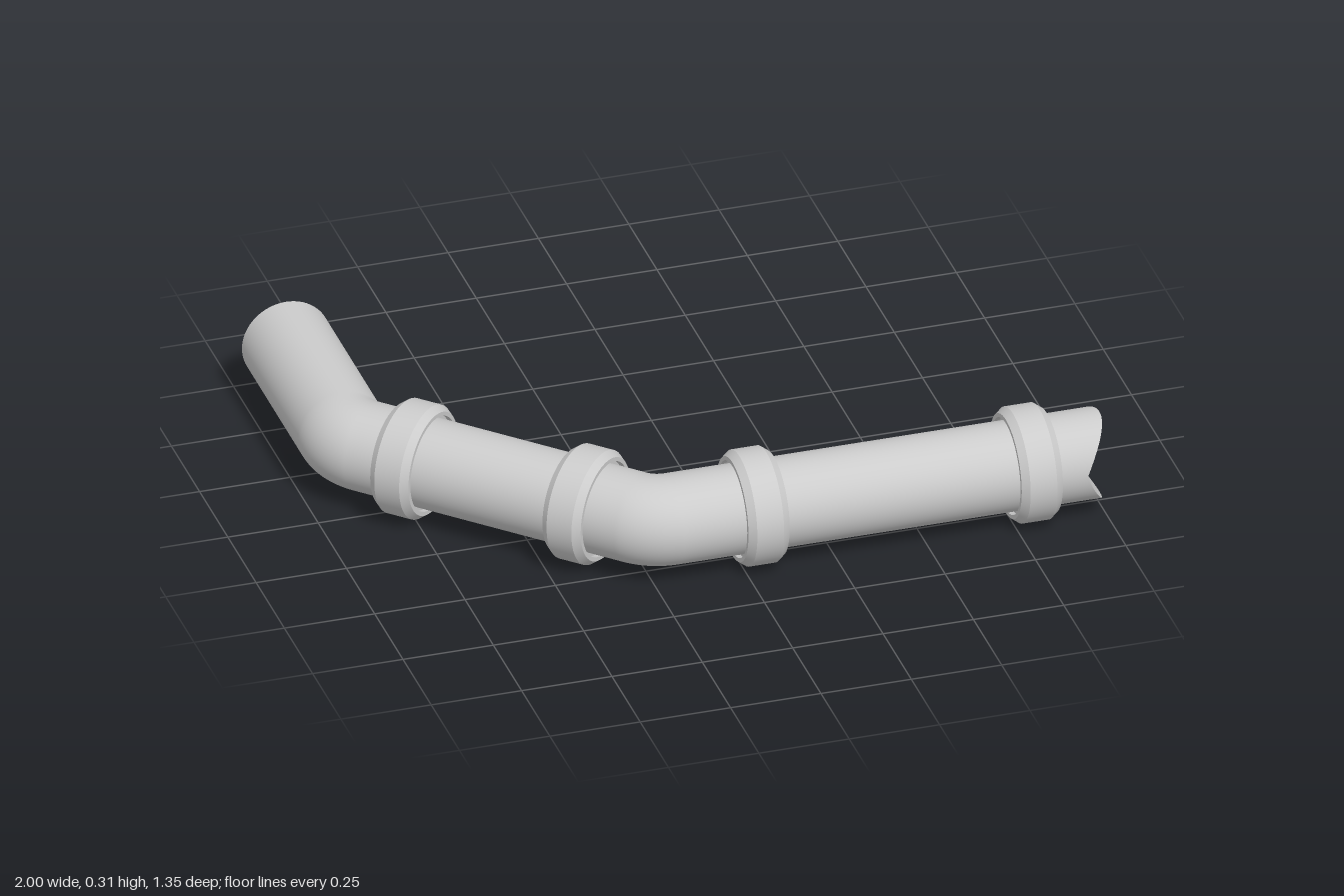
import * as THREE from 'three';
import { toCreasedNormals } from 'three/addons/utils/BufferGeometryUtils.js';

const R = 0.122, AXIS_Y = 0.16, SIDES = 64, BEND = 0.125;

// Surface through rows of points, optionally closed around each row
function skin(rows, closed) {
  const n = rows[0].length, index = [];
  for (let i = 0; i < rows.length - 1; i++) {
    for (let j = 0; j < (closed ? n : n - 1); j++) {
      const a = i * n + j, b = i * n + (j + 1) % n;
      index.push(a, b, a + n, b, b + n, a + n);
    }
  }
  const geo = new THREE.BufferGeometry();
  geo.setAttribute('position', new THREE.Float32BufferAttribute(rows.flat(2), 3));
  geo.setIndex(index);
  geo.computeVertexNormals();
  return geo;
}

// Ring of pipe points around (x, z), heading at angle a in the ground plane
function ring(x, z, a, shift = () => 0) {
  return Array.from({ length: SIDES }, (_, j) => {
    const t = j / SIDES * Math.PI * 2;
    const up = R * Math.cos(t), side = R * Math.sin(t), along = shift(up);
    return [x - side * Math.sin(a) + along * Math.cos(a), AXIS_Y + up,
      z + side * Math.cos(a) + along * Math.sin(a)];
  });
}

// Tight elbow from heading a0 to a1 around a centre
function elbow(cx, cz, a0, a1) {
  return Array.from({ length: 13 }, (_, i) => {
    const a = a0 + (a1 - a0) * i / 12;
    return ring(cx - BEND * Math.sin(a), cz + BEND * Math.cos(a), a);
  });
}

// Depth of the V-shaped end notch
const notch = (y) => {
  const t = Math.abs(y) / R;
  return 0.07 * (0.65 * t + 0.35 * t * t);
};

export function createModel() {
  const group = new THREE.Group();
  const material = new THREE.MeshStandardMaterial({ color: 0xcccccc });
  const add = (name, geo) => {
    const mesh = new THREE.Mesh(geo, material);
    mesh.name = name;
    group.add(mesh);
    return mesh;
  };

  // Pipe with two 45 degree elbows
  const endX = 0.93, endZ = 0.515;
  add('pipe', skin([
    ring(-0.878, -0.675, Math.PI / 2),
    ...elbow(-0.878 + BEND, -0.18, Math.PI / 2, Math.PI / 4),
    ...elbow(-0.185, endZ - BEND, Math.PI / 4, 0),
    ring(endX - 0.01, endZ, 0),
    ring(endX, endZ, 0, notch),
  ], true));

  // Flat cap at the back end
  const cap = add('backCap', new THREE.CircleGeometry(R, SIDES));
  cap.rotation.y = Math.PI;
  cap.position.set(-0.878, AXIS_Y, -0.675);

  // Notched cap: lower and upper halves meeting in a crease
  for (const [name, start] of [['lowerNotchFace', -Math.PI / 2], ['upperNotchFace', 0]]) {
    const rows = [-1, 1].map((s) => Array.from({ length: SIDES / 4 + 1 }, (_, j) => {
      const t = start + j / SIDES * Math.PI * 2, y = R * Math.sin(t);
      return [endX + notch(y), AXIS_Y + y, endZ + s * R * Math.cos(t)];
    }));
    add(name, skin(rows, false));
  }

  // Chamfered collars with a shallow recess around the pipe
  const profile = [
    [0.121, -0.042], [0.131, -0.042], [0.131, -0.057], [0.142, -0.057], [0.157, -0.037],
    [0.157, 0.037], [0.142, 0.057], [0.131, 0.057], [0.131, 0.042], [0.121, 0.042],
  ].map(([x, y]) => new THREE.Vector2(x, y));
  const collarGeo = toCreasedNormals(
    new THREE.LatheGeometry(profile, SIDES).rotateZ(-Math.PI / 2), 0.5);
  const collars = [
    [-0.738, 0.012, Math.PI / 4], [-0.375, 0.375, Math.PI / 4],
    [0.042, endZ, 0], [0.798, endZ, 0],
  ];
  collars.forEach(([x, z, a], i) => {
    const collar = add('collar' + (i + 1), collarGeo);
    collar.position.set(x, AXIS_Y, z);
    collar.rotation.y = -a;
  });

  group.position.y = -0.003;
  const root = new THREE.Group();
  root.add(group);
  return root;
}
